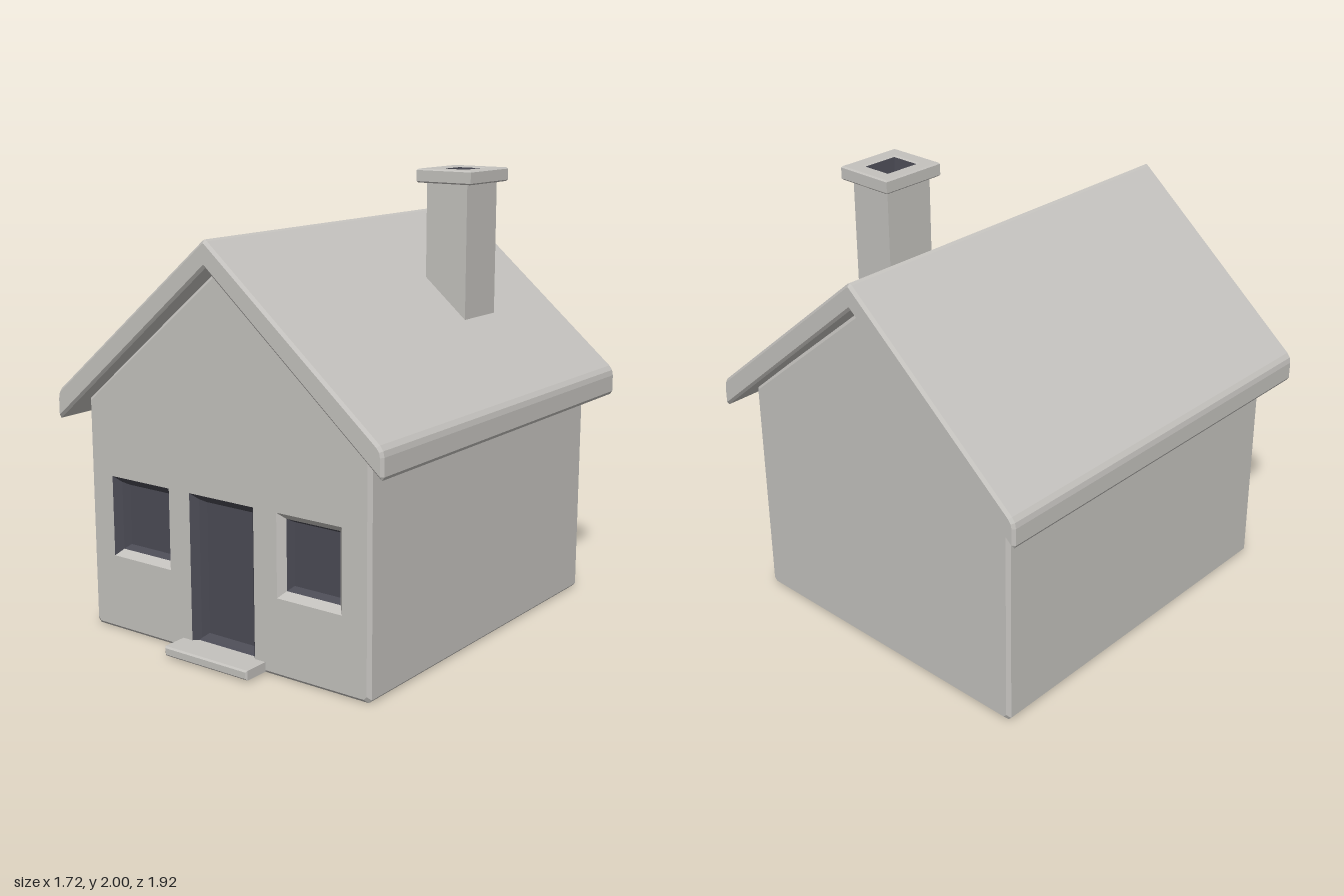
import * as THREE from 'three';

const plaster = new THREE.MeshStandardMaterial({ color: 0xc4c2be });
plaster.name = 'warm grey';
const dark = new THREE.MeshStandardMaterial({ color: 0x4b4b55 });
dark.name = 'dark slate';

const BACK = -0.87, FRONT = 0.84;

function addMesh(parent, name, geometry, material) {
  const mesh = new THREE.Mesh(geometry, material);
  mesh.name = name;
  parent.add(mesh);
  return mesh;
}

const toShape = (pts) => new THREE.Shape(pts.map(([x, y]) => new THREE.Vector2(x, y)));

// Counter-clockwise rectangle, starting at the lower left
const rect = (x0, y0, x1, y1, inset = 0) => [
  [x0 + inset, y0 + inset], [x1 - inset, y0 + inset],
  [x1 - inset, y1 - inset], [x0 + inset, y1 - inset],
];

// Flat-sided strips joining closed outlines at given depths; one group per side
function loft(rings) {
  const pos = [], geometry = new THREE.BufferGeometry();
  const n = rings[0].pts.length;
  for (let r = 0; r < rings.length - 1; r++) {
    const a = rings[r], b = rings[r + 1];
    for (let i = 0; i < n; i++) {
      const j = (i + 1) % n;
      const A = [...a.pts[i], a.z], B = [...a.pts[j], a.z];
      const C = [...b.pts[j], b.z], D = [...b.pts[i], b.z];
      geometry.addGroup(pos.length / 3, 6, i);
      pos.push(...A, ...B, ...C, ...A, ...C, ...D);
    }
  }
  geometry.setAttribute('position', new THREE.Float32BufferAttribute(pos, 3));
  geometry.computeVertexNormals();
  return geometry;
}

// Extrusion from z0 to z1 with chamfered ends, kept inside the outline
function bevelled(shape, z0, z1, bevel) {
  const geometry = new THREE.ExtrudeGeometry(shape, {
    depth: z1 - z0 - 2 * bevel, bevelEnabled: bevel > 0, bevelSize: bevel,
    bevelThickness: bevel, bevelOffset: -bevel, bevelSegments: 1,
  });
  return geometry.translate(0, 0, z0 + bevel);
}

// Gable wall outline, shrunk by an inset
function gable(inset) {
  const w = 0.75 - inset, slope = 0.83, c = 0.015;
  const peak = 1.652 - inset * Math.hypot(1, slope);
  return [
    [-w + c, inset], [w - c, inset], [w, inset + c], [w, peak - slope * w],
    [0, peak], [-w, peak - slope * w], [-w, inset + c],
  ];
}

function buildWalls(house) {
  const bevel = 0.015;
  const sides = loft([
    { pts: gable(bevel), z: BACK }, { pts: gable(0), z: BACK + bevel },
    { pts: gable(0), z: FRONT - bevel }, { pts: gable(bevel), z: FRONT },
  ]);
  sides.clearGroups();
  addMesh(house, 'sideWalls', sides, plaster);

  const back = new THREE.ShapeGeometry(toShape(gable(bevel)));
  addMesh(house, 'backWall', back.rotateY(Math.PI).translate(0, 0, BACK), plaster);

  // Side materials run bottom, right, top, left
  const openings = [
    { name: 'rightWindow', box: [-0.62, 0.34, -0.29, 0.7], mats: [plaster, dark, dark, dark] },
    { name: 'door', box: [-0.175, 0.03, 0.17, 0.7], mats: [dark, dark, dark, dark] },
    { name: 'leftWindow', box: [0.29, 0.34, 0.615, 0.7], mats: [plaster, plaster, plaster, plaster] },
  ];
  const face = toShape(gable(bevel));
  for (const { name, box, mats } of openings) {
    face.holes.push(new THREE.Path(rect(...box).map(([x, y]) => new THREE.Vector2(x, y))));
    const group = new THREE.Group();
    group.name = name;
    house.add(group);
    const outer = rect(...box), mid = rect(...box, 0.028), inner = rect(...box, 0.045);
    const zMid = FRONT - 0.03, zPane = FRONT - 0.06;
    addMesh(group, name + 'Reveal', loft([{ pts: outer, z: FRONT }, { pts: mid, z: zMid }]), mats);
    const liner = loft([{ pts: mid, z: zMid }, { pts: inner, z: zPane }]);
    liner.clearGroups();
    addMesh(group, name + 'Liner', liner, dark);
    addMesh(group, name + 'Panel', new THREE.ShapeGeometry(toShape(inner)).translate(0, 0, zPane), dark);
  }
  addMesh(house, 'frontWall', new THREE.ShapeGeometry(face).translate(0, 0, FRONT), plaster);
}

function buildRoof(house) {
  // Right half from the underside of the ridge round to the top, then mirrored
  const half = [[0.85, 0.94], [0.86, 0.955], [0.86, 1.03], [0.855, 1.054], [0.84, 1.074], [0.012, 1.768]];
  const mirrored = half.map(([x, y]) => [-x, y]).reverse();
  const shape = toShape([[0, 1.662], ...half, [0, 1.775], ...mirrored]);
  addMesh(house, 'roof', bevelled(shape, -0.96, 0.92, 0.012), plaster);
}

function buildChimney(house) {
  // Drawn flat, then stood upright: local z becomes height
  const chimney = new THREE.Group();
  chimney.name = 'chimney';
  chimney.rotation.x = -Math.PI / 2;
  house.add(chimney);
  const flue = rect(0.33, 0.25, 0.47, 0.42);
  const hollow = (pts) => {
    const shape = toShape(pts);
    shape.holes.push(new THREE.Path(flue.map(([x, y]) => new THREE.Vector2(x, y))));
    return shape;
  };
  addMesh(chimney, 'chimneyStack', bevelled(hollow(rect(0.3, 0.21, 0.505, 0.455)), 1.26, 1.95, 0), plaster);
  addMesh(chimney, 'chimneyCap', bevelled(hollow(rect(0.265, 0.18, 0.54, 0.49)), 1.94, 2, 0.006), plaster);
  const rim = rect(0.33, 0.25, 0.47, 0.42, 0.003), base = rect(0.33, 0.25, 0.47, 0.42, 0.017);
  const liner = loft([{ pts: rim, z: 1.996 }, { pts: base, z: 1.9 }]);
  liner.clearGroups();
  addMesh(chimney, 'flueLiner', liner, dark);
  addMesh(chimney, 'flueBottom', new THREE.ShapeGeometry(toShape(base)).translate(0, 0, 1.9), dark);
}

export function createModel() {
  const house = new THREE.Group();
  house.name = 'house';
  buildWalls(house);
  buildRoof(house);
  buildChimney(house);

  // Doorstep slab
  addMesh(house, 'doorstep', bevelled(toShape(rect(-0.225, 0.008, 0.225, 0.05)), 0.78, 0.96, 0.007), plaster);
  return house;
}
